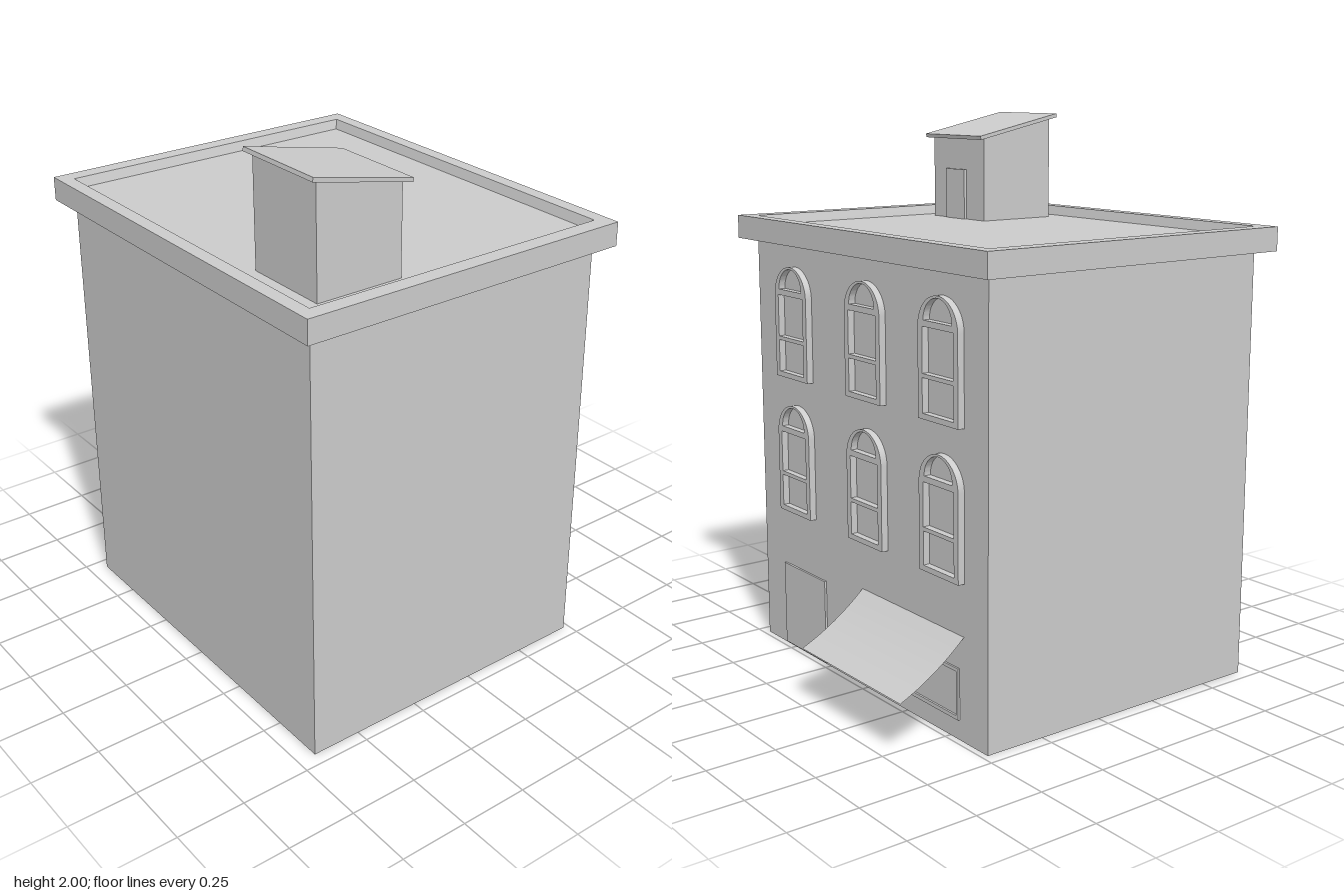
import * as THREE from 'three';
import { toCreasedNormals } from 'three/addons/utils/BufferGeometryUtils.js';

const material = new THREE.MeshStandardMaterial({ color: 0xcccccc });
const sheetMaterial = new THREE.MeshStandardMaterial({ color: 0xcccccc, side: THREE.DoubleSide });

function add(parent, name, geometry, mat = material) {
  const mesh = new THREE.Mesh(geometry, mat);
  mesh.name = name;
  parent.add(mesh);
  return mesh;
}

// Box given by its limits on each axis
function boxBetween(x0, x1, y0, y1, z0, z1) {
  return new THREE.BoxGeometry(x1 - x0, y1 - y0, z1 - z0)
    .translate((x0 + x1) / 2, (y0 + y1) / 2, (z0 + z1) / 2);
}

function polygon(points) {
  return new THREE.Shape(points.map(([x, y]) => new THREE.Vector2(x, y)));
}

function rectangle(x0, x1, y0, y1) {
  return polygon([[x0, y0], [x1, y0], [x1, y1], [x0, y1]]);
}

// Extrude a shape outward along +x; shape x becomes -z
function extrudeToSide(shape, depth) {
  return new THREE.ExtrudeGeometry(shape, { depth, bevelEnabled: false, curveSegments: 16 })
    .rotateY(Math.PI / 2);
}

// Join four-cornered loops with flat faces and cap the last one
function loft(loops) {
  const positions = [];
  const quad = (a, b, c, d) => positions.push(...a, ...b, ...c, ...a, ...c, ...d);
  for (let i = 0; i < loops.length - 1; i++) {
    for (let j = 0; j < 4; j++) {
      const k = (j + 1) % 4;
      quad(loops[i][j], loops[i][k], loops[i + 1][k], loops[i + 1][j]);
    }
  }
  quad(...loops[loops.length - 1]);
  const geometry = new THREE.BufferGeometry();
  geometry.setAttribute('position', new THREE.Float32BufferAttribute(positions, 3));
  geometry.computeVertexNormals();
  return geometry;
}

// Outline with straight sides and a round head
function archShape(halfWidth, bottom, spring) {
  const shape = new THREE.Shape();
  shape.moveTo(-halfWidth, bottom);
  shape.lineTo(halfWidth, bottom);
  shape.lineTo(halfWidth, spring);
  shape.absarc(0, spring, halfWidth, 0, Math.PI, false);
  shape.lineTo(-halfWidth, bottom);
  return shape;
}

// Arched frame with a fanlight and two panes left open
function windowFrameGeometry() {
  const frame = archShape(0.108, 0, 0.302);
  frame.holes.push(
    rectangle(-0.084, 0.084, 0.019, 0.136),
    rectangle(-0.084, 0.084, 0.15, 0.303),
    archShape(0.077, 0.324, 0.325),
  );
  return toCreasedNormals(extrudeToSide(frame, 0.025), 0.6);
}

export function createModel() {
  const model = new THREE.Group();
  model.name = 'townBuilding';
  const wallX = 0.478, wallZ = 0.703, roofY = 1.6;

  add(model, 'walls', boxBetween(-0.683, wallX, 0, 1.55, -wallZ, wallZ));

  // Cornice, low parapet and flat roof
  const level = (y, out) => [
    [-0.683 - out, y, wallZ + out], [wallX + out, y, wallZ + out],
    [wallX + out, y, -wallZ - out], [-0.683 - out, y, -wallZ - out],
  ];
  const eaves = (y) => [
    [-0.733, y, 0.762], [0.528, y, 0.762], [0.528, y, -0.762], [-0.733, y, -0.762],
  ];
  add(model, 'corniceAndRoof', loft([
    level(1.55, -0.02), eaves(1.55), eaves(1.635), level(1.635, 0), level(roofY, -0.01),
  ]));

  // Two rows of three arched windows
  const frameGeometry = windowFrameGeometry();
  for (const y of [0.546, 1.058]) {
    for (const z of [0.438, -0.033, -0.471]) {
      add(model, 'archedWindow', frameGeometry).position.set(wallX, y, z);
    }
  }

  // Shop window: a slim frame around the pane
  const shopFrame = rectangle(0, 0.552, 0.07, 0.25);
  shopFrame.holes.push(rectangle(0.012, 0.54, 0.084, 0.238));
  add(model, 'shopWindowFrame', extrudeToSide(shopFrame, 0.007).translate(wallX, 0, 0));

  // Street door
  add(model, 'streetDoor', boxBetween(wallX - 0.01, wallX + 0.008, 0.008, 0.325, 0.268, 0.556));

  // Curved awning: a thin sheet that flattens toward its outer edge
  const sweep = new THREE.QuadraticBezierCurve(
    new THREE.Vector2(wallX, 0.365), new THREE.Vector2(0.592, 0.26), new THREE.Vector2(0.73, 0.2),
  );
  const awning = new THREE.PlaneGeometry(1, 1, 1, 12);
  const position = awning.attributes.position;
  for (let i = 0; i < position.count; i++) {
    const p = sweep.getPoint(0.5 - position.getY(i));
    position.setXYZ(i, p.x, p.y, -0.276 - position.getX(i) * 0.6);
  }
  awning.computeVertexNormals();
  add(model, 'awning', awning, sheetMaterial);

  // Rooftop stair house with a sloping roof
  const stairHouse = new THREE.Group();
  stairHouse.name = 'stairHouse';
  model.add(stairHouse);
  const profile = (points, z0, z1) => new THREE.ExtrudeGeometry(polygon(points), {
    depth: z1 - z0, bevelEnabled: false,
  }).translate(0, 0, z0);
  add(stairHouse, 'stairHouseWalls', profile(
    [[-0.602, roofY], [-0.282, roofY], [-0.282, 1.913], [-0.602, 1.985]], 0.31, 0.63));
  add(stairHouse, 'stairHouseRoof', profile(
    [[-0.625, 1.986], [-0.254, 1.907], [-0.251, 1.921], [-0.622, 2.0]], 0.292, 0.645));
  add(stairHouse, 'stairHouseDoor', boxBetween(-0.29, -0.272, roofY, 1.79, 0.422, 0.54));

  return model;
}
